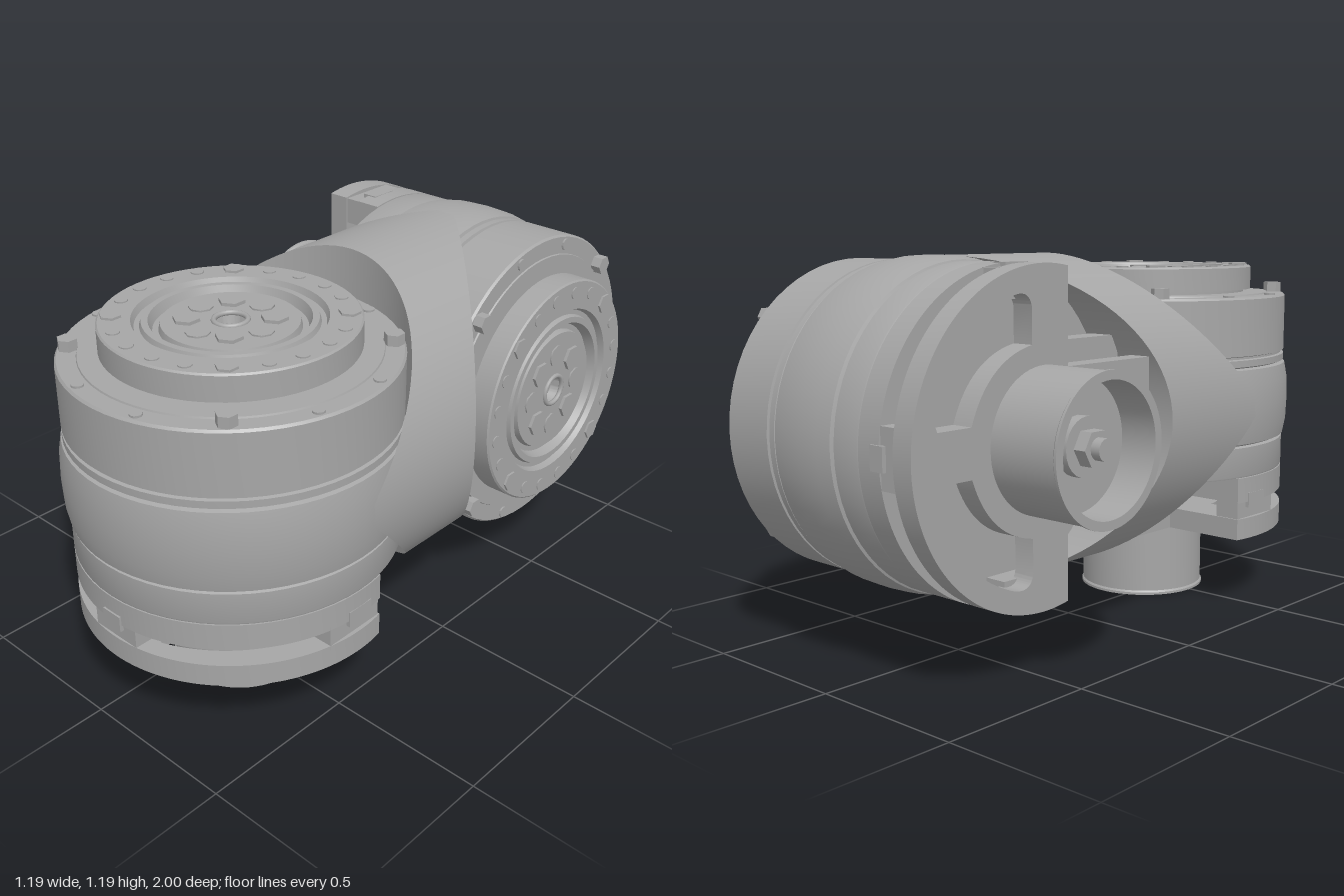
import * as THREE from 'three';
import { toCreasedNormals } from 'three/addons/utils/BufferGeometryUtils.js';

const metal = new THREE.MeshStandardMaterial({ color: 0xa6a6a6 });
metal.name = 'grey metal';

function add(parent, name, geometry, x = 0, y = 0, z = 0) {
  const mesh = new THREE.Mesh(geometry, metal);
  mesh.name = name;
  mesh.position.set(x, y, z);
  parent.add(mesh);
  return mesh;
}

const lathe = (points) =>
  toCreasedNormals(new THREE.LatheGeometry(points.map(([r, y]) => new THREE.Vector2(r, y)), 64), 0.5);

// Flat plate: shape y becomes z, thickness runs from y0 to y1
function slab(shape, y0, y1) {
  const g = new THREE.ExtrudeGeometry(shape, { depth: y1 - y0, bevelEnabled: false, curveSegments: 40 });
  g.rotateX(Math.PI / 2).translate(0, y1, 0);
  return toCreasedNormals(g, 0.5);
}

// Half disc with a straight arm reaching back to the neck
function armPlate(armHalf) {
  const r = 0.49, cut = -0.095, a = Math.asin(cut / r);
  const s = new THREE.Shape();
  s.absarc(0, 0, r, a, Math.PI - a, false);
  s.lineTo(-armHalf, cut);
  s.lineTo(-armHalf, -0.46);
  s.lineTo(armHalf, -0.46);
  s.lineTo(armHalf, cut);
  s.closePath();
  return s;
}

// Screws repeated on a circle
function screws(parent, name, angles, radius, y, size, height, sides) {
  const g = new THREE.CylinderGeometry(size, size, height, sides);
  const group = new THREE.Group();
  group.name = name;
  for (const a of angles) {
    const rad = THREE.MathUtils.degToRad(a);
    add(group, 'screw', toCreasedNormals(g, 0.9), radius * Math.cos(rad), y + height / 2, radius * Math.sin(rad));
  }
  parent.add(group);
}

const quarters = (offsets) => [0, 90, 180, 270].flatMap((q) => offsets.map((o) => q + o));

// One drive unit, axis along y, arm side towards -z
function driveUnit(name) {
  const unit = new THREE.Group();
  unit.name = name;

  // Housing with bulged band, grooves and stepped output face
  add(unit, 'housing', lathe([
    [0, 0.45], [0.488, 0.45], [0.49, 0.455], [0.49, 0.55], [0.478, 0.555], [0.494, 0.562],
    [0.503, 0.61], [0.506, 0.685], [0.503, 0.76], [0.494, 0.808], [0.478, 0.813], [0.49, 0.818],
    [0.49, 0.84], [0.48, 0.843], [0.48, 0.85], [0.49, 0.853], [0.49, 1.038], [0.484, 1.045],
    [0.43, 1.045], [0.428, 1.05], [0.345, 1.05], [0.345, 1.06], [0.37, 1.06], [0.37, 1.135],
    [0.365, 1.14], [0.275, 1.14], [0.267, 1.12], [0.252, 1.12], [0.247, 1.135], [0.228, 1.135],
    [0.217, 1.105], [0.2, 1.105], [0.195, 1.125], [0.05, 1.125], [0.042, 1.09], [0, 1.09],
  ]));

  // Screws on the face
  screws(unit, 'rimScrews', quarters([-15, 15]), 0.46, 1.043, 0.018, 0.008, 12);
  screws(unit, 'rimBolts', quarters([45]), 0.455, 1.043, 0.03, 0.035, 6);
  screws(unit, 'ringScrews', quarters([-26, -9, 9, 26]), 0.33, 1.137, 0.02, 0.007, 12);
  screws(unit, 'ringBolts', quarters([45]), 0.33, 1.137, 0.032, 0.01, 6);
  screws(unit, 'hubBolts', quarters([45]), 0.122, 1.12, 0.04, 0.015, 6);
  screws(unit, 'hubScrews', quarters([0]), 0.122, 1.12, 0.036, 0.01, 8);
  add(unit, 'centreRing', new THREE.TorusGeometry(0.048, 0.008, 8, 24).rotateX(Math.PI / 2), 0, 1.125, 0);

  // Lower housing ring with its arm
  add(unit, 'lowerHousing', slab(armPlate(0.26), 0.365, 0.448));

  // Rear plate with two windows
  const plate = armPlate(0.2);
  for (const s of [1, -1]) {
    const hole = new THREE.Path();
    hole.moveTo(s * 0.07, 0.4);
    hole.lineTo(s * 0.07, 0.28);
    hole.quadraticCurveTo(s * 0.24, 0.22, s * 0.27, 0.05);
    hole.lineTo(s * 0.37, 0.05);
    hole.quadraticCurveTo(s * 0.43, 0.06, s * 0.4, 0.14);
    hole.quadraticCurveTo(s * 0.32, 0.34, s * 0.12, 0.42);
    hole.closePath();
    plate.holes.push(hole);
  }
  add(unit, 'rearPlate', slab(plate, 0.24, 0.31));

  // Spacers between plate and housing
  add(unit, 'centreSpacer', new THREE.CylinderGeometry(0.13, 0.13, 0.08, 32), 0, 0.335, 0);
  add(unit, 'frontSpacer', new THREE.BoxGeometry(0.17, 0.09, 0.085), 0, 0.327, 0.44);
  add(unit, 'frontClip', new THREE.BoxGeometry(0.07, 0.05, 0.03), 0, 0.37, 0.48);
  for (const s of [1, -1]) {
    add(unit, 'sideSpacer', new THREE.BoxGeometry(0.085, 0.08, 0.2), s * 0.435, 0.335, 0.01);
    add(unit, 'sideClip', new THREE.BoxGeometry(0.03, 0.05, 0.09), s * 0.476, 0.37, 0);
    for (const z of [-0.27, -0.36])
      add(unit, 'armScrew', new THREE.CylinderGeometry(0.02, 0.02, 0.01, 10), s * 0.13, 0.238, z);
  }

  // Open motor can with shaft
  add(unit, 'motorCan', lathe([
    [0, 0.12], [0.19, 0.12], [0.19, 0], [0.217, 0], [0.217, 0.008], [0.212, 0.014], [0.212, 0.245], [0, 0.245],
  ]));
  add(unit, 'shaftCollar', new THREE.CylinderGeometry(0.085, 0.085, 0.04, 24), 0, 0.105, 0);
  add(unit, 'shaftNut', toCreasedNormals(new THREE.CylinderGeometry(0.055, 0.055, 0.05, 6), 0.5), 0, 0.07, 0);
  add(unit, 'shaft', new THREE.CylinderGeometry(0.032, 0.032, 0.06, 16), 0, 0.045, 0);
  return unit;
}

// Round neck along z, scooped at each end to cradle one unit
function neckGeometry(xc, yc, zFront, zBack, r) {
  const n = 96, pos = [], idx = [];
  for (let i = 0; i <= n; i++) {
    const t = (i / n) * Math.PI * 2, c = Math.cos(t), s = Math.sin(t);
    const x = xc + r * c, y = yc + r * s;
    const zA = zFront - r * Math.abs(s), zB = zBack + r * Math.abs(c);
    pos.push(xc, y, zB, x, y, zB, x, y, zA, x, yc, zA);
  }
  for (let i = 0; i < n; i++)
    for (let k = 0; k < 3; k++) {
      const a = i * 4 + k, b = a + 4;
      idx.push(a, b, b + 1, a, b + 1, a + 1);
    }
  const g = new THREE.BufferGeometry();
  g.setAttribute('position', new THREE.Float32BufferAttribute(pos, 3));
  g.setIndex(idx);
  return toCreasedNormals(g, 0.6);
}

export function createModel() {
  const model = new THREE.Group();
  model.name = 'twoAxisJoint';

  // Upright unit at the front
  const front = driveUnit('frontDrive');
  front.position.set(0.085, 0, 0.495);
  model.add(front);

  // Sideways unit at the back, facing +x
  const back = driveUnit('backDrive');
  back.quaternion.setFromRotationMatrix(new THREE.Matrix4().makeBasis(
    new THREE.Vector3(0, 1, 0), new THREE.Vector3(1, 0, 0), new THREE.Vector3(0, 0, -1)));
  back.position.set(-0.6, 0.685, -0.495);
  model.add(back);

  add(model, 'neck', neckGeometry(0.085, 0.685, 0.495, -0.495, 0.504));
  return model;
}
